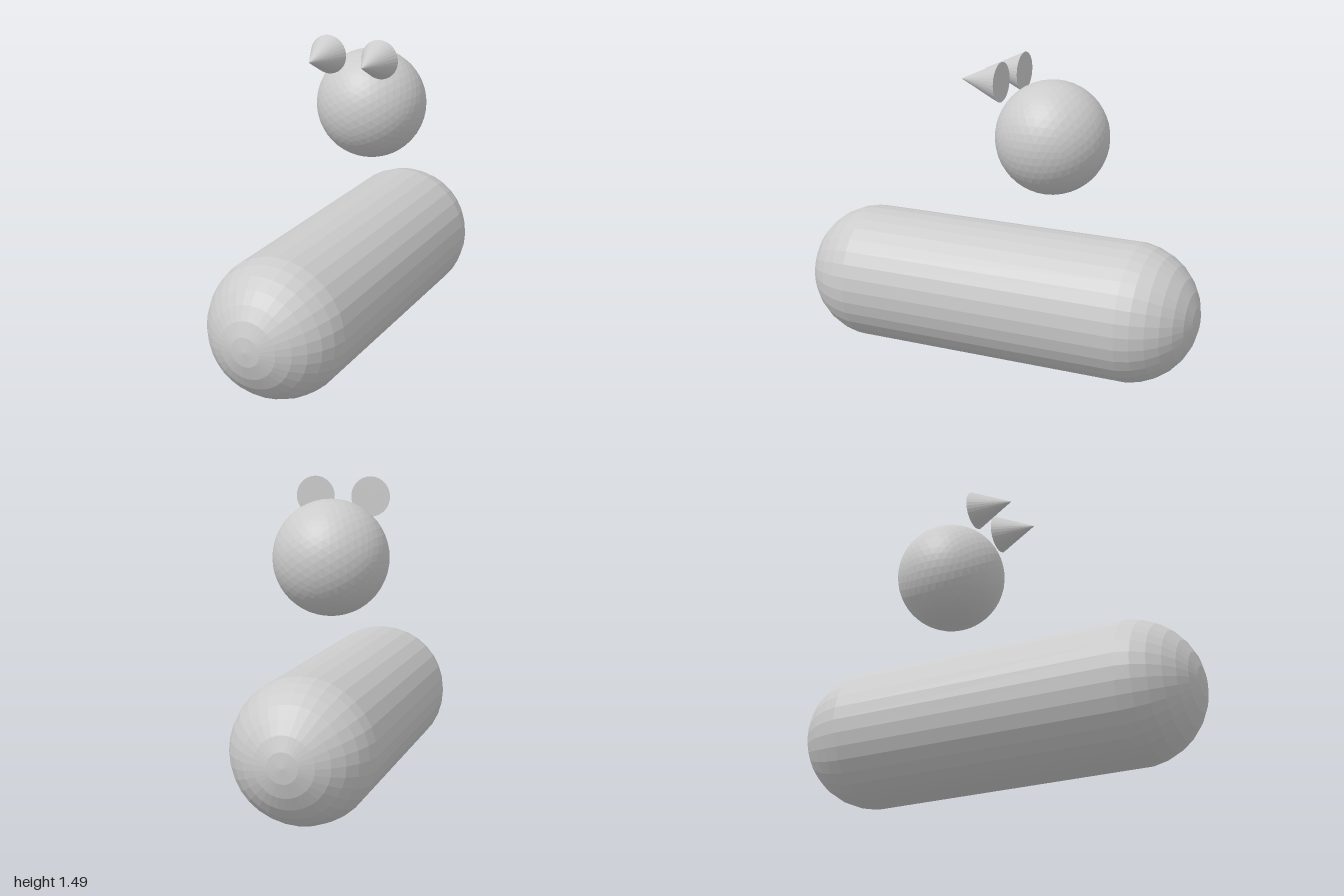
import * as THREE from 'three';

const material = new THREE.MeshStandardMaterial({ color: 0xcccccc, flatShading: true });

function addPart(group, name, geometry, x, y, z) {
  const mesh = new THREE.Mesh(geometry, material);
  mesh.name = name;
  mesh.position.set(x, y, z);
  group.add(mesh);
}

export function createModel() {
  const group = new THREE.Group();
  group.name = 'capsuleCreature';

  // Body: a faceted capsule lying along z, two half-domes of 12 degree rings
  const radius = 1 / 3, halfLength = 2 / 3, rings = 15;
  const profile = [];
  for (let i = 0; i <= rings; i++) {
    const a = (Math.PI * i) / rings;
    const end = i <= rings / 2 ? -halfLength : halfLength;
    profile.push(new THREE.Vector2(radius * Math.sin(a), end - radius * Math.cos(a)));
  }
  addPart(group, 'body', new THREE.LatheGeometry(profile, 32).rotateX(Math.PI / 2), 0, radius, 0);

  // Head: a geodesic ball floating above the body
  addPart(group, 'head', new THREE.IcosahedronGeometry(0.267, 7), 0, 1.133, -0.267);

  // Ears: a pair of cones pointing forward
  for (const [name, side] of [['leftEar', 1], ['rightEar', -1]]) {
    const cone = new THREE.ConeGeometry(0.093, 0.2, 32).rotateX(Math.PI / 2);
    addPart(group, name, cone, side * 0.133, 1.4, 0.033);
  }

  return group;
}
